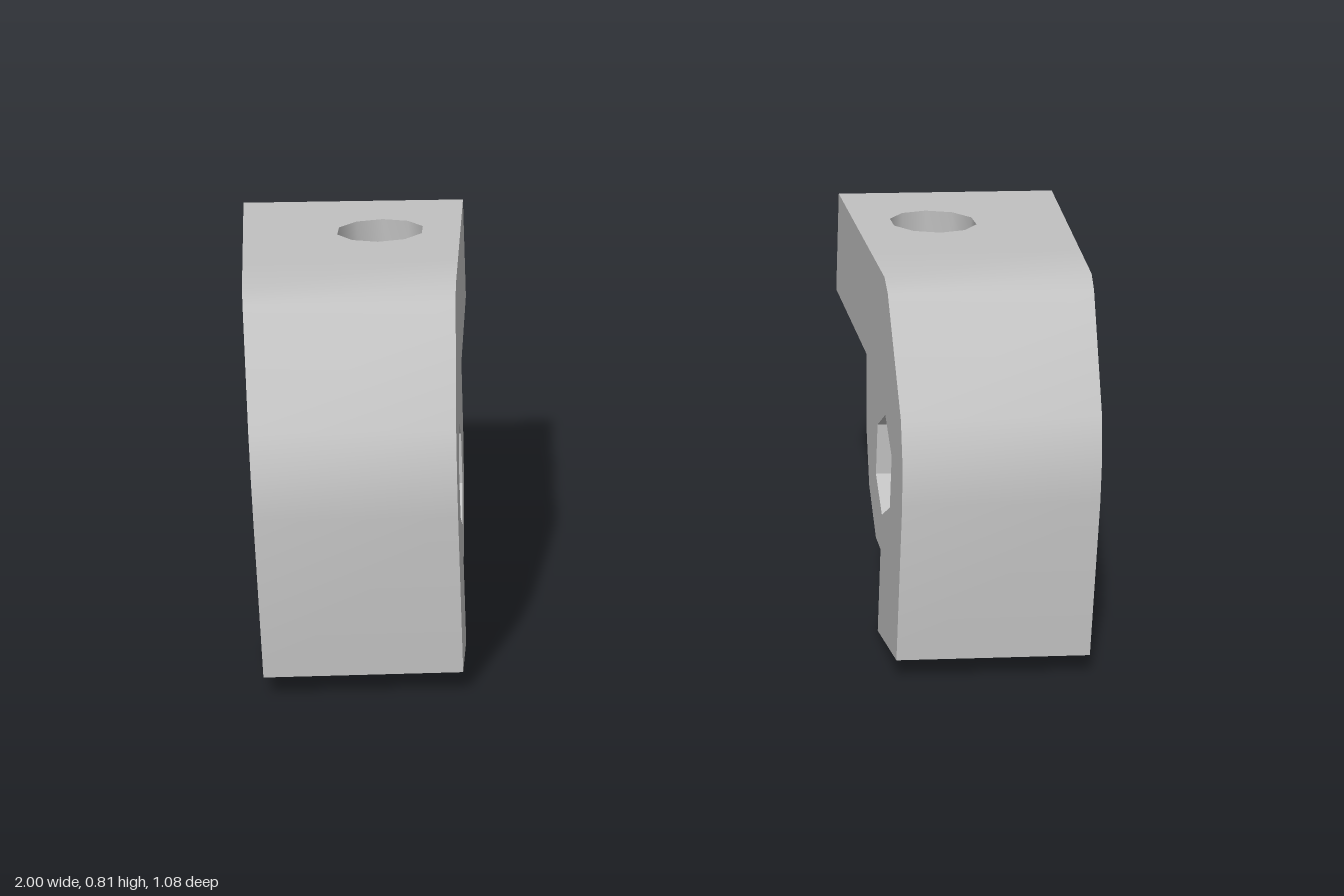
import * as THREE from 'three';
import { mergeGeometries, toCreasedNormals } from 'three/addons/utils/BufferGeometryUtils.js';

const INNER = 0.465, JOINT = -0.01, BACK = -0.54, ARM_BOTTOM = 0.565, TOP = 0.812;
const outerX = z => 0.9435 - 0.1046 * z; // outer flank tapers towards the front
const vec = list => list.map(([a, b]) => new THREE.Vector2(a, b));

// regular polygon with a corner at the top
const ring = (cx, cy, r, n) => new THREE.Path(Array.from({ length: n }, (_, i) => {
  const a = Math.PI / 2 + (i * 2 * Math.PI) / n;
  return new THREE.Vector2(cx + r * Math.cos(a), cy + r * Math.sin(a));
}));

// drop the faces hidden inside the joint between hook and arm
function openJoint(geo) {
  const p = geo.attributes.position, keep = [];
  for (let i = 0; i < p.count; i += 3) {
    const hidden = [0, 1, 2].every(k => Math.abs(p.getZ(i + k) - JOINT) < 1e-4);
    if (!hidden) for (let k = 0; k < 3; k++) keep.push(p.getX(i + k), p.getY(i + k), p.getZ(i + k));
  }
  const out = new THREE.BufferGeometry();
  out.setAttribute('position', new THREE.Float32BufferAttribute(keep, 3));
  return out;
}

// curved front hook: side profile (z, y) with a hexagonal hole, widened to the flank
function hook(side) {
  const profile = [
    [0.54, 0.05], [0.28, 0], [0.28, 0.2], [0.21, 0.2], [0.09, 0.28], [0.017, 0.405],
    [JOINT, ARM_BOTTOM], [JOINT, TOP], [0.21, TOP], [0.26, 0.79], [0.485, 0.58],
    [0.525, 0.495], [0.54, 0.405],
  ].map(([z, y]) => [-z, y]);
  const shape = new THREE.Shape(vec(profile));
  shape.holes.push(ring(-0.283, 0.402, 0.118, 6));
  const geo = new THREE.ExtrudeGeometry(shape, { depth: 1, bevelEnabled: false }).rotateY(Math.PI / 2);
  const p = geo.attributes.position;
  for (let i = 0; i < p.count; i++) {
    const o = outerX(p.getZ(i)), t = p.getX(i);
    p.setX(i, side > 0 ? INNER + t * (o - INNER) : -o + t * (o - INNER));
  }
  return openJoint(geo);
}

// flat rear arm: plan outline (x, -z) with a round bolt hole
function arm(side) {
  const shape = new THREE.Shape(vec([
    [side * INNER, -JOINT], [side * outerX(JOINT), -JOINT],
    [side * outerX(BACK), -BACK], [side * INNER, -BACK],
  ]));
  shape.holes.push(ring(side * 0.652, 0.257, 0.103, 10));
  const geo = new THREE.ExtrudeGeometry(shape, { depth: TOP - ARM_BOTTOM, bevelEnabled: false });
  return openJoint(geo.rotateX(-Math.PI / 2).translate(0, ARM_BOTTOM, 0));
}

export function createModel() {
  const group = new THREE.Group();
  group.name = 'bracketPair';
  const grey = new THREE.MeshStandardMaterial({ color: 0xc0c0c0 });
  grey.name = 'grey';
  for (const side of [1, -1]) {
    const geo = toCreasedNormals(mergeGeometries([hook(side), arm(side)]), 0.65);
    const mesh = new THREE.Mesh(geo, grey);
    mesh.name = side > 0 ? 'leftBracket' : 'rightBracket';
    group.add(mesh);
  }
  return group;
}
